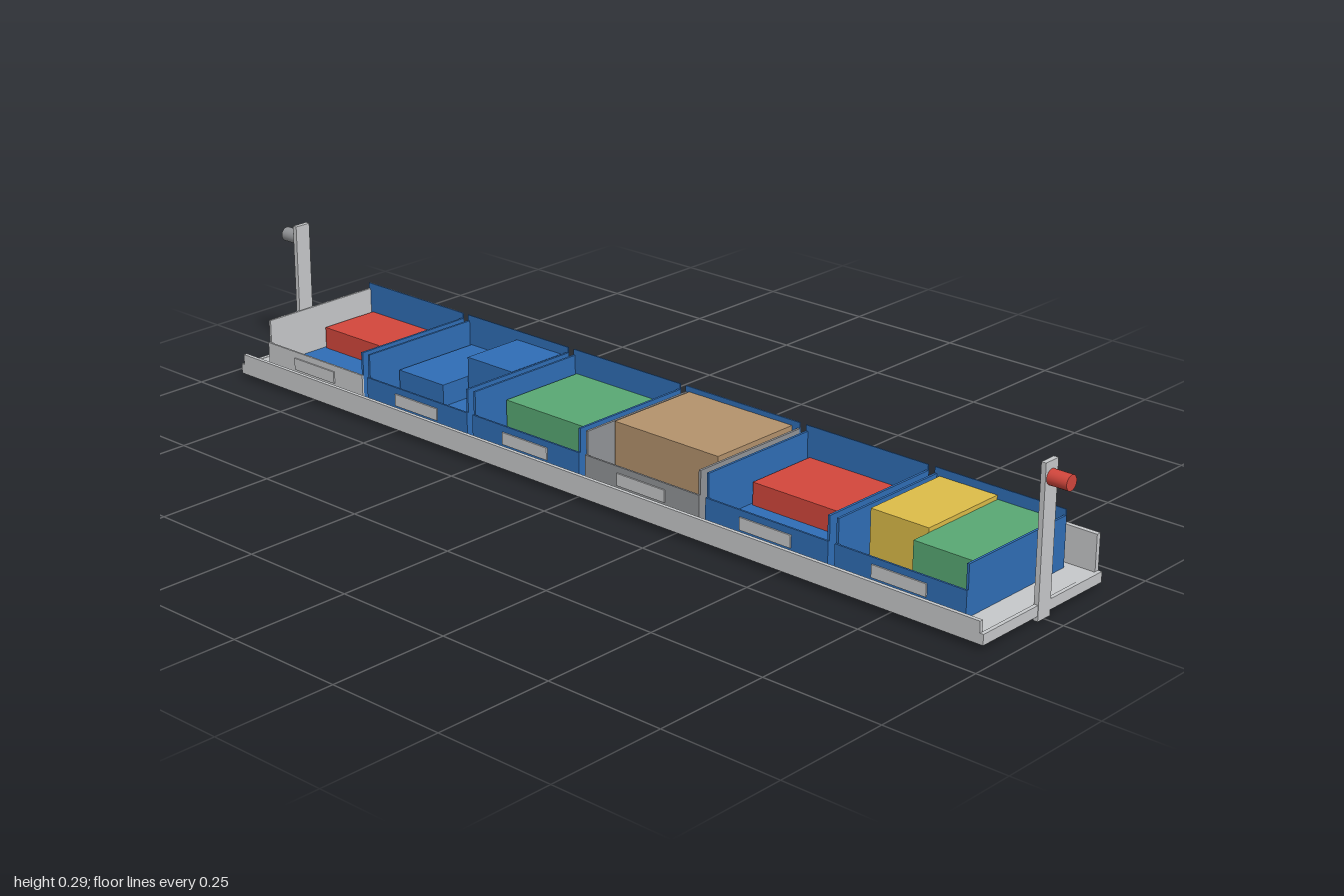
import * as THREE from 'three';

const mat = (name, color) => {
  const m = new THREE.MeshStandardMaterial({ color });
  m.name = name;
  return m;
};

export function createModel() {
  const frame = mat('light grey metal', 0xc6c8ca);
  const grey = mat('mid grey plastic', 0x929497);
  const blue = mat('blue plastic', 0x2f6db5);
  const red = mat('red', 0xd2463c);
  const green = mat('green', 0x58a873);
  const tan = mat('cardboard tan', 0xb3926c);
  const yellow = mat('yellow', 0xdcbc48);

  const model = new THREE.Group();
  model.name = 'binShelf';

  // Box given by its minimum and maximum on each axis
  const box = (parent, name, material, x0, x1, y0, y1, z0, z1) => {
    const mesh = new THREE.Mesh(new THREE.BoxGeometry(x1 - x0, y1 - y0, z1 - z0), material);
    mesh.position.set((x0 + x1) / 2, (y0 + y1) / 2, (z0 + z1) / 2);
    mesh.name = name;
    parent.add(mesh);
  };

  // Shelf tray with low front lip and taller back lip
  box(model, 'shelfBase', frame, -0.95, 0.95, 0.01, 0.03, -0.174, 0.174);
  box(model, 'frontLip', frame, -0.95, 0.95, 0.03, 0.053, 0.166, 0.174);
  box(model, 'backLip', frame, -0.95, 0.95, 0.03, 0.103, -0.174, -0.164);

  // End plates, posts and buttons
  for (const s of [-1, 1]) {
    const end = new THREE.Group();
    end.name = s > 0 ? 'leftEnd' : 'rightEnd';
    const a = s * 0.95, b = s * 0.958;
    const x0 = Math.min(a, b), x1 = Math.max(a, b);
    box(end, 'endPlate', frame, x0, x1, 0.01, 0.031, -0.174, 0.174);
    box(end, 'post', frame, x0 - 0.001, x1 + 0.001, 0, 0.295, -0.018, 0.018);
    const geo = new THREE.CylinderGeometry(0.015, 0.015, 0.041, 24);
    geo.rotateZ(-s * Math.PI / 2);
    const button = new THREE.Mesh(geo, s > 0 ? red : [grey, red, grey]);
    button.position.set(s * 0.9795, 0.265, 0);
    button.name = 'button';
    end.add(button);
    model.add(end);
  }

  // Per bin: wall colours and contents [material, x0, x1 from bin centre, top, front z]
  const bins = [
    { left: frame, right: blue, floor: blue, front: frame, back: frame,
      items: [[red, -0.133, 0.122, 0.08, -0.004]] },
    { items: [[blue, -0.134, -0.006, 0.08, 0.065], [blue, 0.0, 0.125, 0.124, 0.001]] },
    { items: [[green, -0.134, 0.124, 0.093, 0.06]] },
    { left: grey, right: grey, floor: grey, front: grey, back: grey,
      items: [[tan, -0.134, 0.126, 0.133, 0.072]] },
    { items: [[red, -0.133, 0.125, 0.08, 0.024]] },
    { items: [[yellow, -0.132, -0.003, 0.128, 0.06], [green, -0.002, 0.13, 0.12, 0.105]] },
  ];
  bins.forEach((spec, i) => {
    const { left = blue, right = blue, floor = blue, front = blue, back = blue, items } = spec;
    const bin = new THREE.Group();
    bin.name = 'bin' + (i + 1);
    bin.position.x = -0.7605 + i * 0.303;
    const h = 0.144, t = 0.005;
    box(bin, 'floor', floor, -h + t, h - t, 0.0305, 0.034, -0.139, 0.139);
    box(bin, 'sideWall', left, -h, -h + t, 0.0305, 0.131, -0.14, 0.14);
    box(bin, 'sideWall', right, h - t, h, 0.0305, 0.131, -0.14, 0.14);
    box(bin, 'backPanel', blue, -h, h, 0.0305, 0.143, -0.1425, -0.14);
    if (back !== blue) box(bin, 'backCover', back, -h, h, 0.0305, 0.143, -0.1435, -0.1425);
    box(bin, 'frontPanel', front, -h, h, 0.0305, 0.083, 0.14, 0.144);
    box(bin, 'label', frame, -0.06, 0.06, 0.045, 0.07, 0.144, 0.147);
    for (const [m, x0, x1, top, z1] of items) {
      box(bin, 'storedBox', m, x0, x1, 0.034, top, -0.139, z1);
    }
    model.add(bin);
  });

  return model;
}
